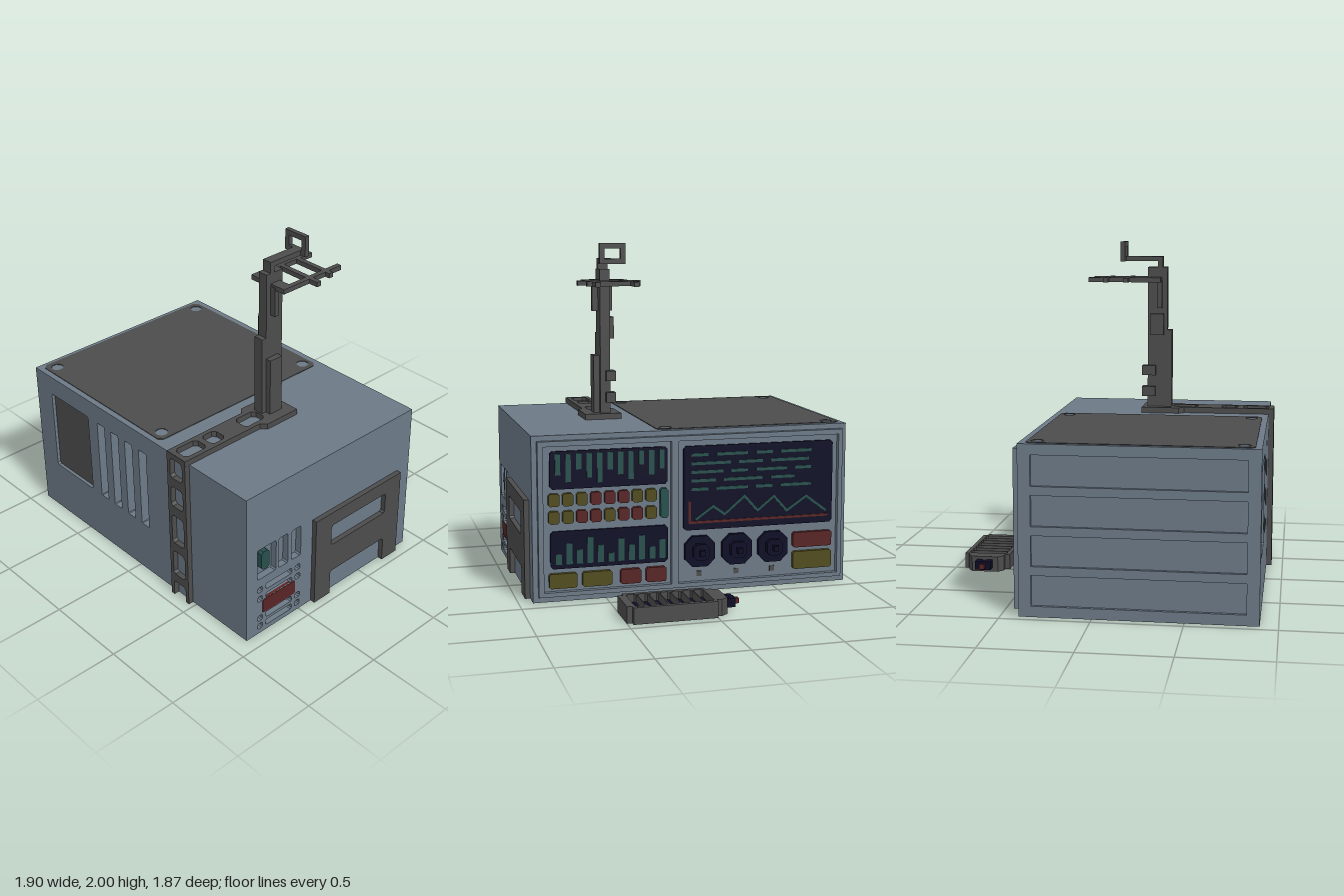
import * as THREE from 'three';

const paint = (name, color) => {
  const m = new THREE.MeshStandardMaterial({ color });
  m.name = name;
  return m;
};

export function createModel() {
  const slate = paint('slate body', 0x6c7a87);
  const grey = paint('dark grey metal', 0x4c4c4c);
  const navy = paint('navy black', 0x0c0c26);
  const teal = paint('teal', 0x27504c);
  const red = paint('dull red', 0x582424);
  const olive = paint('olive', 0x504c1e);

  const model = new THREE.Group();
  model.name = 'controlUnit';

  // A face group has its own axes: u across, v up, w outward
  const face = (name, rx, ry) => {
    const g = new THREE.Group();
    g.name = name;
    g.rotation.set(rx, ry, 0);
    model.add(g);
    return g;
  };
  const box = (parent, name, mat, u0, u1, v0, v1, w0, w1) => {
    const m = new THREE.Mesh(new THREE.BoxGeometry(u1 - u0, v1 - v0, w1 - w0), mat);
    m.position.set((u0 + u1) / 2, (v0 + v1) / 2, (w0 + w1) / 2);
    m.name = name;
    parent.add(m);
    return m;
  };
  // Rectangle with cut corners
  const cut = (u0, u1, v0, v1, c = 0.012) => [
    [u0 + c, v0], [u1 - c, v0], [u1, v0 + c], [u1, v1 - c],
    [u1 - c, v1], [u0 + c, v1], [u0, v1 - c], [u0, v0 + c]];
  const rect = (u0, u1, v0, v1) => [[u0, v0], [u1, v0], [u1, v1], [u0, v1]];
  const vec = (pts) => pts.map(([u, v]) => new THREE.Vector2(u, v));
  const plate = (parent, name, mat, outline, holes, w0, w1) => {
    const shape = new THREE.Shape(vec(outline));
    holes.forEach((h) => shape.holes.push(new THREE.Path(vec(h))));
    const geo = new THREE.ExtrudeGeometry(shape, { depth: w1 - w0, bevelEnabled: false });
    const m = new THREE.Mesh(geo, mat);
    m.position.z = w0;
    m.name = name;
    parent.add(m);
    return m;
  };

  const front = face('frontFace', 0, 0);
  const left = face('leftFace', 0, Math.PI / 2); // u = -z
  const right = face('rightFace', 0, -Math.PI / 2); // u = z
  const back = face('backFace', 0, Math.PI); // u = -x
  const top = face('topFace', -Math.PI / 2, 0); // v = -z

  // Housing core
  box(model, 'housingCore', slate, -0.93, 0.88, 0, 0.95, -0.4, 0.8);

  // Front wall with deep slots and a sunken hatch
  const slots = [-0.32, -0.193, -0.066, 0.061].map((u) => cut(u - 0.033, u + 0.033, 0.32, 0.83, 0.004));
  plate(front, 'frontWall', slate, rect(-0.93, 0.88, 0, 0.95),
    [...slots, cut(-0.8, -0.44, 0.32, 0.83, 0.01)], 0.8, 0.9);
  box(front, 'slotFloor', navy, -0.36, 0.1, 0.31, 0.84, 0.798, 0.802);
  box(front, 'hatch', grey, -0.8, -0.44, 0.32, 0.83, 0.8, 0.88);

  // Ladder: front run
  plate(front, 'ladderFront', grey,
    [[0.32, 0], [0.345, 0], [0.345, 0.088], [0.357, 0.1], [0.433, 0.1], [0.445, 0.088],
      [0.445, 0], [0.47, 0], [0.47, 0.983], [0.32, 0.983]],
    [[0.155, 0.32], [0.38, 0.57], [0.635, 0.765], [0.825, 0.95]].map(([a, b]) => cut(0.345, 0.445, a, b, 0.015)),
    0.9, 0.932);

  // Left wall: vents, switches and access frame
  const ventHoles = [[0.68, 0.82], [0.59, 0.66], [0.49, 0.56]].map(([a, b]) => cut(-b, -a, 0.38, 0.58, 0.008));
  for (const v of [0.285, 0.222, 0.086, 0.03]) {
    for (const [a, b] of [[0.78, 0.817], [0.555, 0.755], [0.492, 0.53]]) {
      ventHoles.push(cut(-b, -a, v, v + 0.037, 0.008));
    }
  }
  plate(left, 'leftWall', slate, rect(-0.9, 0.4, 0, 0.95), ventHoles, 0.88, 0.92);
  plate(left, 'tealSwitch', teal, cut(-0.78, -0.72, 0.42, 0.54, 0.015), [], 0.88, 0.91);
  plate(left, 'redSwitch', red, cut(-0.78, -0.53, 0.13, 0.222, 0.008), [], 0.9, 0.922);
  plate(left, 'accessFrame', grey,
    [[-0.4, 0], [-0.275, 0], [-0.275, 0.148], [-0.263, 0.16], [0.163, 0.16], [0.175, 0.148],
      [0.175, 0], [0.3, 0], [0.3, 0.572], [-0.4, 0.572]],
    [cut(-0.275, 0.175, 0.347, 0.483)], 0.92, 0.95);

  // Right wall with four long sunken panels
  const panels = [0, 1, 2, 3].map((i) => rect(-0.33, 0.83, 0.06 + i * 0.22, 0.23 + i * 0.22));
  plate(right, 'rightWall', slate, rect(-0.4, 0.9, 0, 0.95), panels, 0.93, 0.95);

  // Top hatch with open corner bolts
  const bolts = [];
  for (const u of [-0.86, 0.125]) {
    for (const v of [0.305, -0.805]) bolts.push(cut(u - 0.034, u + 0.034, v - 0.034, v + 0.034, 0.02));
  }
  plate(top, 'topHatch', grey, cut(-0.925, 0.187, -0.865, 0.362, 0.025), bolts, 0.949, 0.954);

  // Ladder: top run and mast foot
  plate(top, 'ladderTop', grey,
    [[0.32, -0.93], [0.473, -0.93], [0.473, -0.38], [0.505, -0.35], [0.505, -0.12],
      [0.285, -0.12], [0.285, -0.35], [0.32, -0.38]],
    [[-0.9, -0.745], [-0.71, -0.61], [-0.46, -0.31]].map(([a, b]) => cut(0.347, 0.445, a, b, 0.02)),
    0.95, 0.984);

  // Mast
  const mast = new THREE.Group();
  mast.name = 'mast';
  model.add(mast);
  [
    ['mastLower', 0.345, 0.405, 0.98, 1.46, 0.15, 0.3],
    ['mastUpper', 0.345, 0.405, 1.46, 1.845, 0.15, 0.27],
    ['mastBrace', 0.4, 0.44, 0.98, 1.33, 0.18, 0.27],
    ['mastClampLow', 0.317, 0.375, 1.05, 1.11, 0.118, 0.2],
    ['mastClampHigh', 0.317, 0.375, 1.18, 1.24, 0.118, 0.2],
    ['mastBox', 0.317, 0.35, 1.43, 1.56, 0.17, 0.25],
    ['mastHead', 0.317, 0.44, 1.595, 1.77, 0.21, 0.24],
    ['periscopePost', 0.345, 0.405, 1.84, 1.91, 0.21, 0.24],
    ['periscopeArm', 0.345, 0.405, 1.88, 1.91, 0, 0.24],
    ['aerialRoot', 0.25, 0.505, 1.755, 1.783, 0.17, 0.237],
    ['aerialBarNear', 0.19, 0.565, 1.755, 1.783, 0.015, 0.045],
    ['aerialBarFar', 0.22, 0.535, 1.755, 1.783, -0.11, -0.08],
  ].forEach(([name, ...b]) => box(mast, name, grey, ...b));
  for (const x of [0.265, 0.49]) box(mast, 'aerialRod', grey, x - 0.015, x + 0.015, 1.755, 1.783, -0.205, 0.2);
  plate(mast, 'periscopeLoop', grey, rect(0.285, 0.44, 1.88, 2), [rect(0.315, 0.41, 1.91, 1.97)], -0.013, 0.015);

  // Back console frame
  plate(back, 'consoleFrame', slate, rect(-0.89, 0.92, 0.035, 0.92),
    [rect(-0.86, -0.12, 0.06, 0.89), rect(-0.08, 0.895, 0.06, 0.89)], 0.4, 0.43);

  // Screens
  const screen = (name, ...r) => plate(back, name, navy, cut(...r, 0.015), [], 0.4, 0.412);
  const mark = (name, mat, ...r) => box(back, name, mat, ...r, 0.411, 0.417);
  const trace = (mat, pts) => pts.slice(1).forEach(([u, v], i) => {
    const [a, b] = pts[i];
    const len = Math.hypot(u - a, v - b);
    const m = mark('trace', mat, -len / 2 - 0.006, len / 2 + 0.006, -0.007, 0.007);
    m.position.set((a + u) / 2, (b + v) / 2, 0.414);
    m.rotation.z = Math.atan2(v - b, u - a);
  });

  screen('barScreen', -0.82, -0.14, 0.645, 0.86);
  [0.12, 0.16, 0.09, 0.14, 0.17, 0.1, 0.13, 0.16, 0.08, 0.14, 0.11].forEach((h, i) => {
    const u = -0.79 + i * 0.06;
    mark('levelBar', teal, u, u + 0.03, 0.845 - h, 0.845);
  });
  screen('waveScreen', -0.82, -0.14, 0.19, 0.405);
  [0.06, 0.12, 0.08, 0.15, 0.1, 0.05, 0.13, 0.09, 0.14, 0.07, 0.11].forEach((h, i) => {
    const u = -0.79 + i * 0.06;
    mark('waveBar', teal, u, u + 0.035, 0.215, 0.215 + h);
  });
  screen('mainScreen', -0.045, 0.865, 0.365, 0.855);
  for (let r = 0; r < 5; r++) {
    for (let k = 0, u = 0.0; k < 4; k++) {
      const len = 0.1 + 0.09 * ((r * 3 + k * 2) % 4) / 2;
      if (u + len < 0.84) mark('textDash', teal, u, u + len, 0.795 - r * 0.05, 0.812 - r * 0.05);
      u += len + 0.05;
    }
  }
  trace(teal, [[0.03, 0.43], [0.13, 0.5], [0.2, 0.45], [0.32, 0.55], [0.4, 0.46],
    [0.5, 0.54], [0.58, 0.45], [0.7, 0.53], [0.82, 0.44]]);
  trace(red, [[-0.01, 0.53], [-0.01, 0.41], [0.83, 0.41]]);

  // Buttons
  const button = (name, mat, ...r) => plate(back, name, mat, cut(...r, 0.01), [], 0.4, 0.426);
  const rows = [[olive, olive, olive, red, red, red, olive, olive],
    [olive, olive, red, red, olive, red, red, olive]];
  rows.forEach((row, r) => row.forEach((mat, i) => {
    const u = -0.83 + i * 0.08;
    button('keyButton', mat, u, u + 0.062, 0.55 - r * 0.1, 0.622 - r * 0.1);
  }));
  button('tealSlider', teal, -0.185, -0.14, 0.45, 0.622);
  button('oliveSwitch', olive, -0.83, -0.67, 0.08, 0.165);
  button('oliveSwitch', olive, -0.64, -0.47, 0.08, 0.165);
  button('redSwitch', red, -0.42, -0.3, 0.08, 0.165);
  button('redSwitch', red, -0.27, -0.15, 0.08, 0.165);
  button('largeRedButton', red, 0.62, 0.86, 0.225, 0.315);
  button('largeOliveButton', olive, 0.62, 0.86, 0.095, 0.2);

  // Stepped dials
  for (const u of [0.05, 0.275, 0.495]) {
    plate(back, 'dial', navy, cut(u - 0.09, u + 0.09, 0.15, 0.33, 0.045), [], 0.4, 0.427);
    plate(back, 'dialCap', navy, cut(u - 0.047, u + 0.047, 0.195, 0.288, 0.02), [], 0.427, 0.46);
    box(back, 'dialStem', navy, u - 0.015, u + 0.015, 0.225, 0.257, 0.46, 0.49);
    box(back, 'dialTick', grey, u - 0.015, u + 0.015, 0.09, 0.12, 0.4, 0.407);
  }

  // Loose power cell behind the console
  const cell = face('powerCell', -Math.PI / 2, 0);
  const half = [[-0.07, 0.08], [-0.03, 0.11], [0, 0.11], [0, 0.14], [0.47, 0.14], [0.47, 0.11], [0.5, 0.11]];
  const outline = [...half.map(([u, v]) => [u, 0.8 - v]), ...half.reverse().map(([u, v]) => [u, 0.8 + v])];
  const grooves = [];
  for (let i = 0; i < 7; i++) {
    const u = 0.013 + i * 0.064;
    grooves.push(cut(u, u + 0.058, 0.685, 0.915, 0.01));
  }
  plate(cell, 'cellBase', grey, outline, [], 0, 0.045);
  plate(cell, 'cellGrille', grey, outline, grooves, 0.045, 0.093);
  box(cell, 'grooveFloor', navy, 0.01, 0.46, 0.68, 0.92, 0.042, 0.048);
  box(cell, 'plugNeck', grey, -0.1, -0.07, 0.775, 0.825, 0.03, 0.07);
  for (const v of [0.77, 0.83]) box(cell, 'plugProng', navy, -0.127, -0.07, v - 0.018, v + 0.018, 0.025, 0.075);
  box(cell, 'plugBridge', navy, -0.13, -0.1, 0.78, 0.82, 0.025, 0.075);
  box(cell, 'plugTip', red, -0.157, -0.128, 0.785, 0.815, 0.035, 0.065);

  return model;
}
